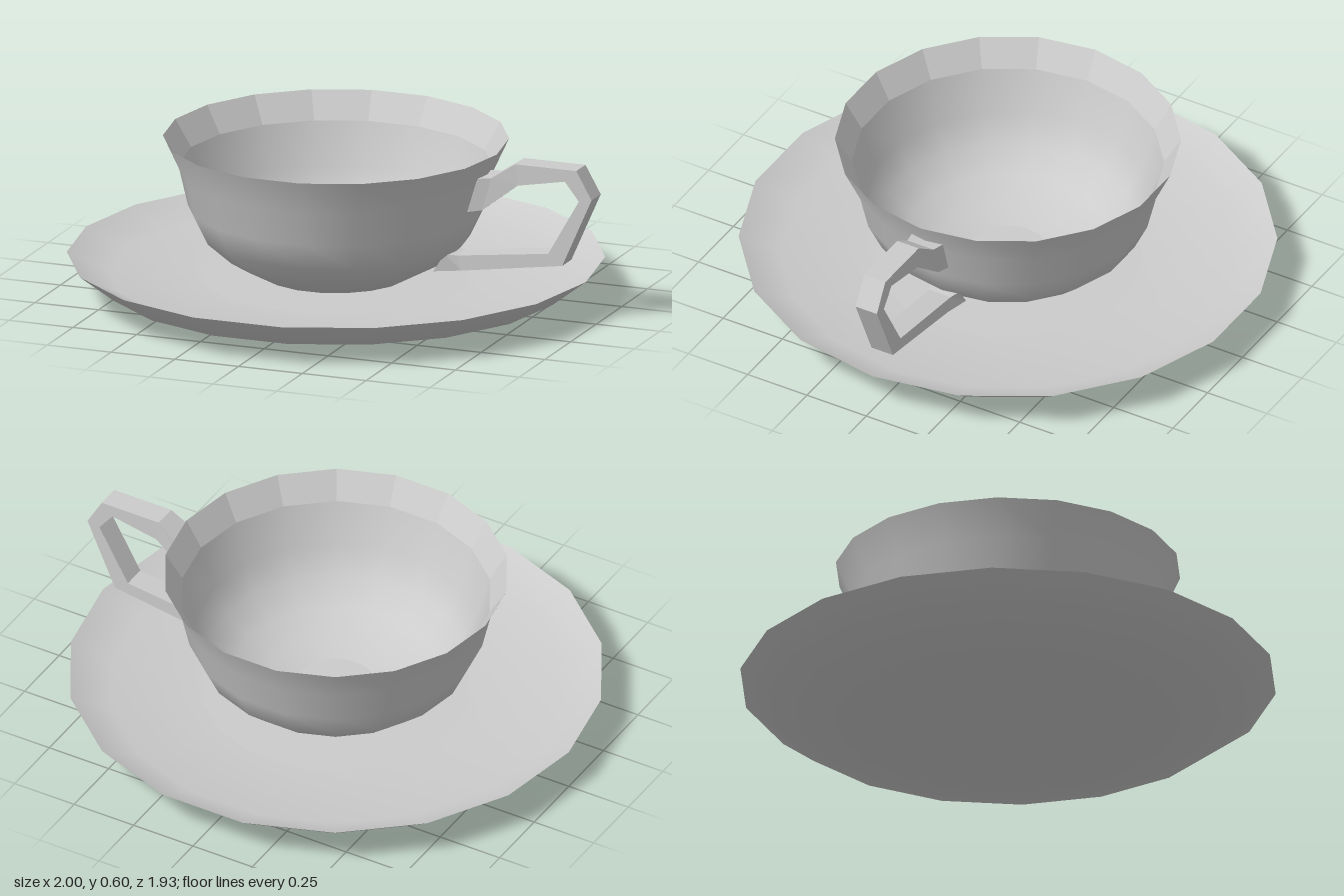
import * as THREE from 'three';

const SIDES = 18;
const CENTRE_X = -0.02;
const smooth = new THREE.MeshStandardMaterial({ color: 0xcccccc });
const flat = new THREE.MeshStandardMaterial({ color: 0xcccccc, flatShading: true });

// Turns a profile of [radius, height] pairs; rising profiles face outward.
function turned(name, profile, material = smooth) {
  const points = profile.map(([r, y]) => new THREE.Vector2(r, y));
  const mesh = new THREE.Mesh(new THREE.LatheGeometry(points, SIDES, Math.PI / 2), material);
  mesh.name = name;
  return mesh;
}

function part(name, ...meshes) {
  const group = new THREE.Group();
  group.name = name;
  group.add(...meshes);
  return group;
}

// Rectangular bar through sections [outerX, outerY, innerX, innerY, halfWidth].
function createHandle() {
  const sections = [
    [0.56, 0.52, 0.52, 0.39, 0.065],
    [0.61, 0.525, 0.575, 0.40, 0.055],
    [0.70, 0.585, 0.71, 0.505, 0.045],
    [0.94, 0.585, 0.895, 0.54, 0.045],
    [1.00, 0.48, 0.95, 0.47, 0.045],
    [0.885, 0.22, 0.83, 0.26, 0.045],
    [0.49, 0.16, 0.47, 0.215, 0.045],
    [0.385, 0.15, 0.43, 0.22, 0.06],
  ];
  const positions = [];
  const index = [];
  for (const [ox, oy, ix, iy, w] of sections) {
    positions.push(ox, oy, w, ox, oy, -w, ix, iy, -w, ix, iy, w);
  }
  for (let s = 0; s < sections.length - 1; s++) {
    for (let k = 0; k < 4; k++) {
      const a = s * 4 + k;
      const b = s * 4 + ((k + 1) % 4);
      index.push(a, a + 4, b, b, a + 4, b + 4);
    }
  }
  // End caps
  const e = (sections.length - 1) * 4;
  index.push(0, 1, 2, 0, 2, 3, e, e + 2, e + 1, e, e + 3, e + 2);
  const geometry = new THREE.BufferGeometry();
  geometry.setAttribute('position', new THREE.Float32BufferAttribute(positions, 3));
  geometry.setIndex(index);
  geometry.computeVertexNormals();
  const mesh = new THREE.Mesh(geometry, flat);
  mesh.name = 'handle';
  return mesh;
}

export function createModel() {
  const model = new THREE.Group();
  model.name = 'cupAndSaucer';

  // Saucer: flat base, flared underside, shallow top and flat well
  const saucer = part('saucer',
    turned('saucerBase', [[0, 0], [0.63, 0]]),
    turned('saucerUnderside', [[0.63, 0], [0.85, 0.055], [0.98, 0.155]]),
    turned('saucerTop', [[0.98, 0.155], [0.83, 0.085], [0.49, 0.07]]),
    turned('saucerWell', [[0.49, 0.07], [0, 0.07]]));

  // Cup: outer shell, faceted lip band, smooth bowl and flat floor
  const cup = part('cup',
    turned('cupOutside', [[0, 0.075], [0.27, 0.085], [0.40, 0.155], [0.49, 0.235],
      [0.54, 0.34], [0.57, 0.47], [0.63, 0.6]]),
    turned('cupLip', [[0.63, 0.6], [0.568, 0.5]], flat),
    turned('cupBowl', [[0.568, 0.5], [0.515, 0.34], [0.46, 0.24], [0.37, 0.165],
      [0.26, 0.12], [0.145, 0.1]]),
    turned('cupFloor', [[0.145, 0.1], [0, 0.1]]));

  saucer.position.x = cup.position.x = CENTRE_X;
  model.add(saucer, cup, createHandle());
  return model;
}
